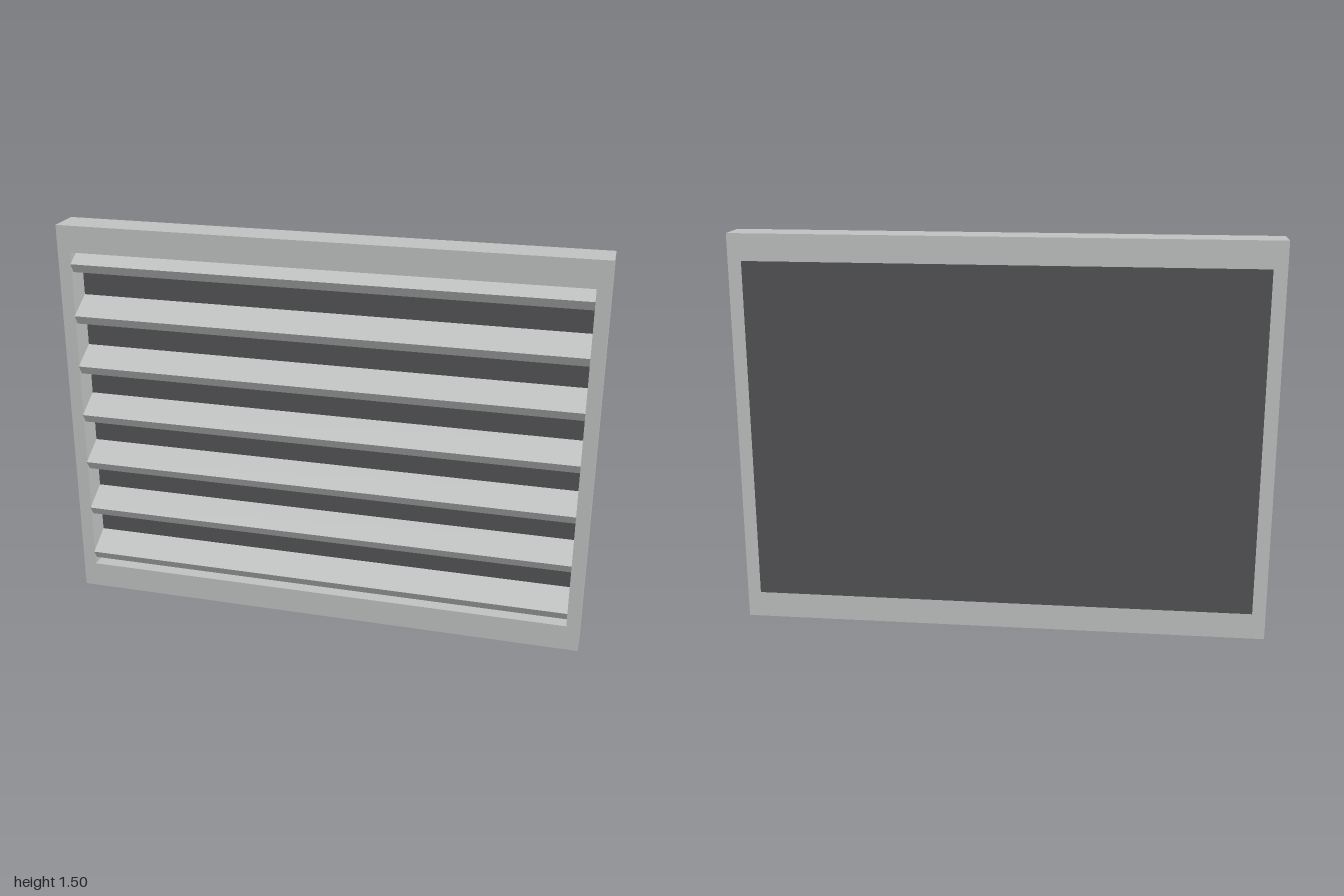
import * as THREE from 'three';

const material = (name, color) => {
  const m = new THREE.MeshStandardMaterial({ color });
  m.name = name;
  return m;
};

export function createModel() {
  const metal = material('light grey metal', 0xbec1c0);
  const dark = material('dark grey backing', 0x535356);
  const model = new THREE.Group();
  model.name = 'louvredVent';

  const W = 2, H = 1.5, BORDER_X = 0.05, BORDER_Y = 0.1;
  const BACK = -0.07, DEPTH = 0.133;
  const innerW = W - 2 * BORDER_X, innerH = H - 2 * BORDER_Y;

  const add = (parent, name, geometry, mat, x, y, z) => {
    const mesh = new THREE.Mesh(geometry, mat);
    mesh.name = name;
    mesh.position.set(x, y, z);
    parent.add(mesh);
    return mesh;
  };

  // Outer frame: one rectangle with a rectangular opening
  const outline = new THREE.Shape([
    new THREE.Vector2(-W / 2, 0), new THREE.Vector2(W / 2, 0),
    new THREE.Vector2(W / 2, H), new THREE.Vector2(-W / 2, H),
  ]);
  outline.holes.push(new THREE.Path([
    new THREE.Vector2(-innerW / 2, BORDER_Y), new THREE.Vector2(-innerW / 2, H - BORDER_Y),
    new THREE.Vector2(innerW / 2, H - BORDER_Y), new THREE.Vector2(innerW / 2, BORDER_Y),
  ]));
  const frame = new THREE.ExtrudeGeometry(outline, { depth: DEPTH, bevelEnabled: false });
  add(model, 'frame', frame, metal, 0, 0, BACK);

  // Dark panel closing the back of the opening, flush with the frame
  const panelDepth = 0.04;
  add(model, 'backPanel', new THREE.BoxGeometry(innerW, innerH, panelDepth), dark,
    0, H / 2, BACK + panelDepth / 2);

  // Seven slats sloping down towards the front
  const slats = new THREE.Group();
  slats.name = 'slats';
  model.add(slats);
  const slatGeometry = new THREE.BoxGeometry(innerW, 0.04, 0.12);
  for (let i = 0; i < 7; i++) {
    const slat = add(slats, `slat${i + 1}`, slatGeometry, metal, 0, 0.17 + i * 0.2, 0.008);
    slat.rotation.x = Math.PI / 6;
  }

  return model;
}
